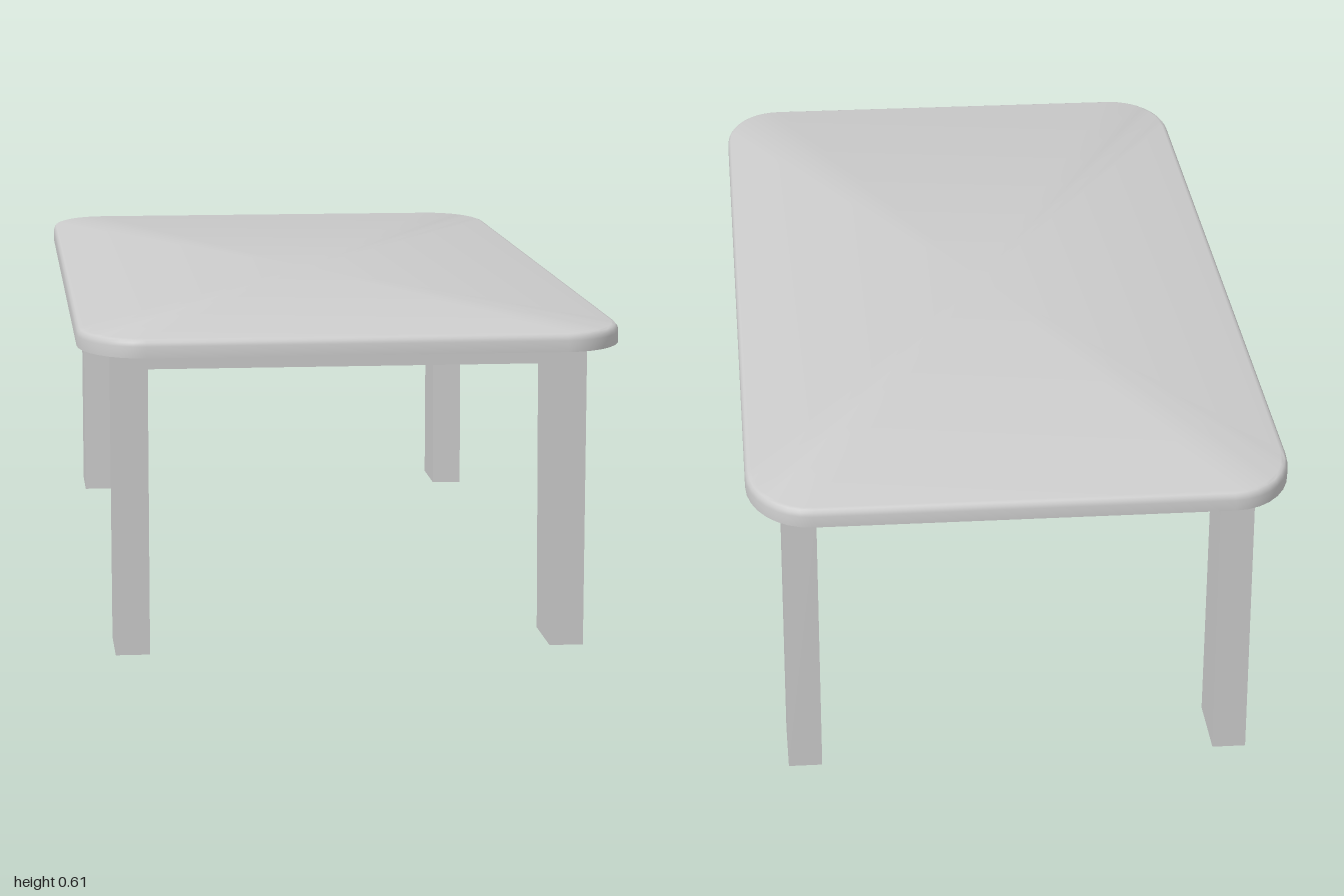
import * as THREE from 'three';
import { toCreasedNormals } from 'three/addons/utils/BufferGeometryUtils.js';

const material = new THREE.MeshStandardMaterial({ color: 0xcccccc, side: THREE.DoubleSide });

const TOP_Y = 0.613, UNDER_Y = 0.578, APRON_Y = 0.54;
const LEG_OUT_X = 0.442, LEG_IN_X = 0.378, LEG_OUT_Z = 0.886;

function add(group, name, geometry) {
  const mesh = new THREE.Mesh(geometry, material);
  mesh.name = name;
  group.add(mesh);
  return mesh;
}

// Rounded-rectangle outline with elliptical corners, pulled in by an inset
function outline(inset, y) {
  const rx = 0.12, rz = 0.17, steps = 8, points = [];
  const corners = [[1, 1], [-1, 1], [-1, -1], [1, -1]];
  corners.forEach(([sx, sz], c) => {
    for (let i = 0; i <= steps; i++) {
      const a = (c + i / steps) * Math.PI / 2;
      points.push([
        sx * (0.507 - rx) + Math.cos(a) * (rx - inset), y,
        sz * (1 - rz) + Math.sin(a) * (rz - inset),
      ]);
    }
  });
  return points;
}

// Slab with a square lower edge and a softened upper edge
function tabletopGeometry() {
  const rings = [
    outline(0, UNDER_Y), outline(0, 0.599), outline(0.002, 0.606),
    outline(0.006, 0.611), outline(0.012, TOP_Y),
  ];
  const n = rings[0].length;
  const positions = rings.flat(2);
  const index = [];
  for (let r = 0; r < rings.length - 1; r++) {
    for (let i = 0; i < n; i++) {
      const j = (i + 1) % n;
      const a = r * n + i, b = r * n + j, c = a + n, d = b + n;
      index.push(a, c, b, b, c, d);
    }
  }
  // Flat caps, fanned from a centre point
  const low = rings.length * n, high = low + 1, last = low - n;
  positions.push(0, UNDER_Y, 0, 0, TOP_Y, 0);
  for (let i = 0; i < n; i++) {
    const j = (i + 1) % n;
    index.push(low, i, j, high, last + j, last + i);
  }
  const geometry = new THREE.BufferGeometry();
  geometry.setAttribute('position', new THREE.Float32BufferAttribute(positions, 3));
  geometry.setIndex(index);
  return toCreasedNormals(geometry, 0.6);
}

// Rectangular frame below the slab; shape y becomes -z
function apronGeometry() {
  const rect = (path, x, front, back) => path
    .moveTo(-x, -front).lineTo(x, -front).lineTo(x, -back).lineTo(-x, -back).closePath();
  const shape = rect(new THREE.Shape(), LEG_OUT_X, LEG_OUT_Z, -LEG_OUT_Z);
  shape.holes.push(rect(new THREE.Path(), 0.358, 0.708, -0.765));
  const geometry = new THREE.ExtrudeGeometry(shape, { depth: UNDER_Y - APRON_Y, bevelEnabled: false });
  return geometry.rotateX(-Math.PI / 2).translate(0, APRON_Y, 0);
}

// Hollow leg, open at the foot, with a slanted inner face
function legGeometry(side, end, innerTop, innerFoot) {
  const geometry = new THREE.BoxGeometry(LEG_OUT_X - LEG_IN_X, APRON_Y, 1);
  const p = geometry.attributes.position;
  for (let i = 0; i < p.count; i++) {
    const inner = p.getY(i) > 0 ? innerTop : innerFoot;
    const outward = p.getZ(i) * end > 0;
    p.setZ(i, end * (outward ? LEG_OUT_Z : inner));
  }
  // Leave out the top and bottom faces (box indices 12 to 23)
  const index = Array.from(geometry.index.array);
  geometry.setIndex([...index.slice(0, 12), ...index.slice(24)]);
  geometry.clearGroups();
  geometry.translate(side * (LEG_OUT_X + LEG_IN_X) / 2, APRON_Y / 2, 0);
  geometry.computeVertexNormals();
  return geometry;
}

export function createModel() {
  const table = new THREE.Group();
  table.name = 'table';
  add(table, 'tabletop', tabletopGeometry());
  add(table, 'apron', apronGeometry());
  for (const side of [1, -1]) {
    const label = side > 0 ? 'Left' : 'Right';
    add(table, 'front' + label + 'Leg', legGeometry(side, 1, 0.718, 0.74));
    add(table, 'back' + label + 'Leg', legGeometry(side, -1, 0.762, 0.74));
  }
  return table;
}
